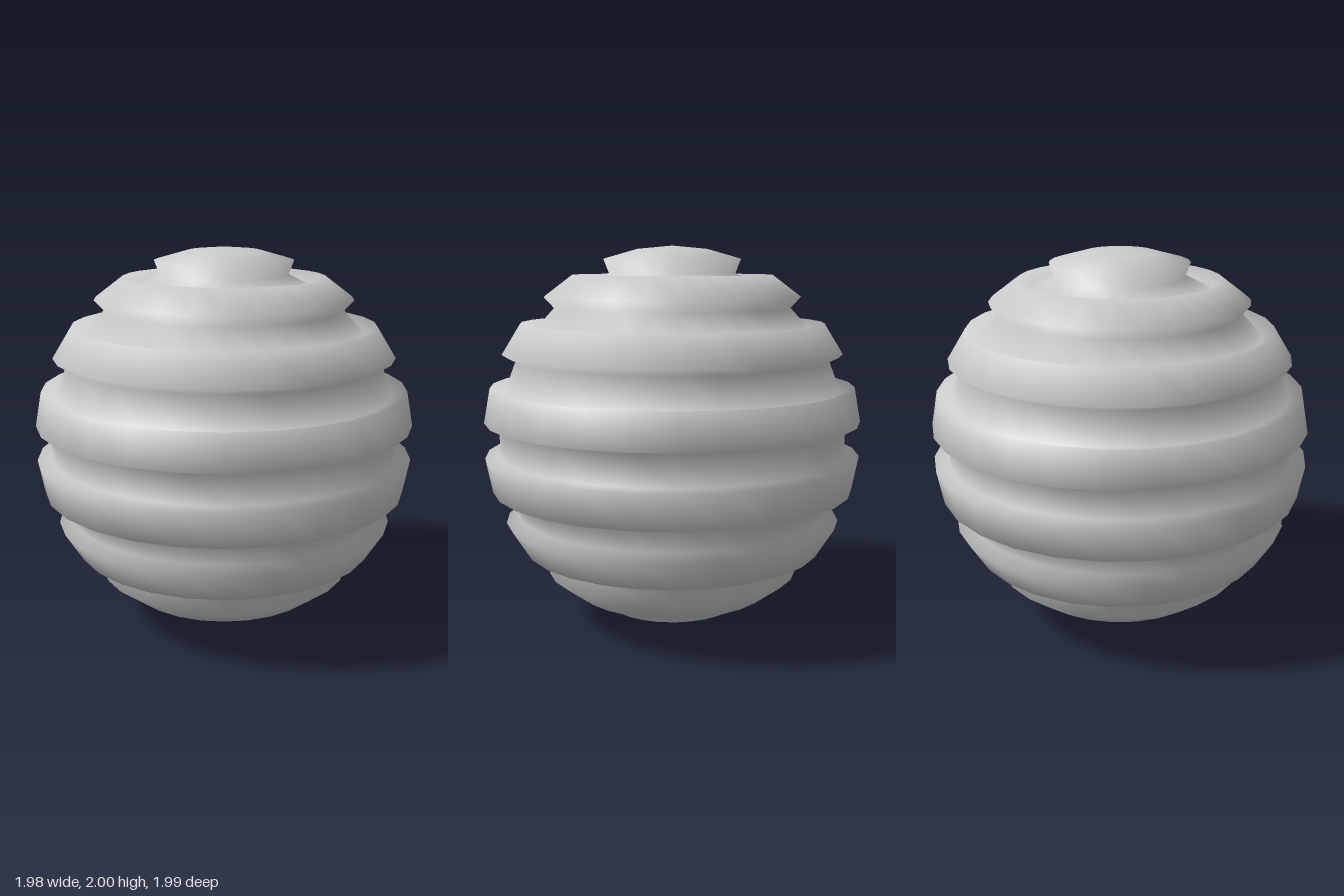
import * as THREE from 'three';
import { mergeVertices } from 'three/addons/utils/BufferGeometryUtils.js';

const BANDS = 17;        // latitude bands from pole to pole
const SEGMENTS = 27;     // sides around the axis
const RIDGE = 1;         // radius of raised bands
const GROOVE = 0.922;    // radius of sunken bands

// Bands alternate; the two at each pole are both raised to form the caps
const bandRadius = (i) => (i >= 2 && i <= BANDS - 3 && i % 2 === 0 ? GROOVE : RIDGE);

// Stepped half-circle profile, running from the bottom pole to the top
function ribbedProfile() {
  const points = [];
  const add = (radius, k) => {
    const a = (k / BANDS) * Math.PI;
    const r = k === 0 || k === BANDS ? 0 : radius * Math.sin(a);
    points.push(new THREE.Vector2(r, 1 - radius * Math.cos(a)));
  };
  add(RIDGE, 0);
  for (let i = 0; i < BANDS; i++) {
    const radius = bandRadius(i);
    if (i > 0 && radius !== bandRadius(i - 1)) add(radius, i); // radial step
    add(radius, i + 1);
  }
  return points;
}

export function createModel() {
  const group = new THREE.Group();
  group.name = 'ribbedBall';

  // Weld the seam and poles so the shading flows smoothly over the ribs
  let geometry = new THREE.LatheGeometry(ribbedProfile(), SEGMENTS, -Math.PI / 2);
  geometry.deleteAttribute('uv');
  geometry.deleteAttribute('normal');
  geometry = mergeVertices(geometry, 1e-4);
  geometry.computeVertexNormals();

  // The odd side count is slightly lopsided in x, so centre it
  geometry.computeBoundingBox();
  const { min, max } = geometry.boundingBox;
  geometry.translate(-(min.x + max.x) / 2, 0, 0);

  const ball = new THREE.Mesh(geometry, new THREE.MeshStandardMaterial({ color: 0xcccccc }));
  ball.name = 'ribbedShell';
  group.add(ball);
  return group;
}
